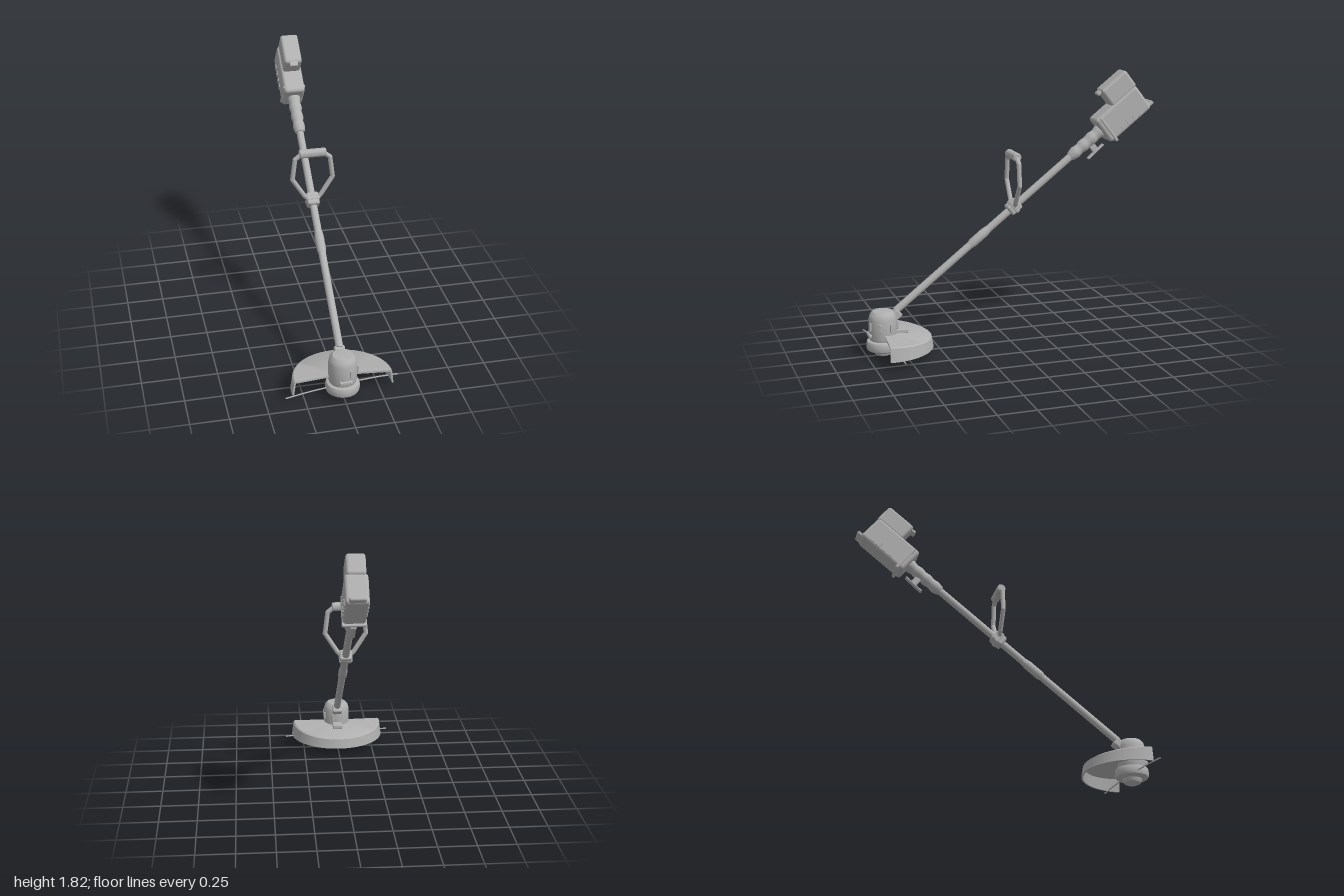
import * as THREE from 'three';
import { toCreasedNormals } from 'three/addons/utils/BufferGeometryUtils.js';
import { RoundedBoxGeometry } from 'three/addons/geometries/RoundedBoxGeometry.js';

const grey = new THREE.MeshStandardMaterial({ color: 0xb0b0b0, side: THREE.DoubleSide });
grey.name = 'plain grey';

const V = (x, y, z) => new THREE.Vector3(x, y, z);

function add(parent, name, geometry, x = 0, y = 0, z = 0) {
  const mesh = new THREE.Mesh(geometry, grey);
  mesh.name = name;
  mesh.position.set(x, y, z);
  parent.add(mesh);
  return mesh;
}

const rbox = (w, h, d, r) => new RoundedBoxGeometry(w, h, d, 2, r);

// Turned part from [radius, height] pairs
function turned(points, segments = 24) {
  const g = new THREE.LatheGeometry(points.map(([r, y]) => new THREE.Vector2(r, y)), segments);
  return toCreasedNormals(g, 0.6);
}

// Round bar between two points
function bar(parent, name, a, b, r, sides = 10) {
  const mesh = add(parent, name, new THREE.CylinderGeometry(r, r, a.distanceTo(b), sides));
  mesh.position.copy(a).add(b).multiplyScalar(0.5);
  mesh.quaternion.setFromUnitVectors(V(0, 1, 0), b.clone().sub(a).normalize());
  return mesh;
}

// Everything in line with the pole: local y runs up the pole, local z is its upper side
function buildPole() {
  const pole = new THREE.Group();
  pole.name = 'poleAssembly';
  pole.position.set(0, 0.31, 0.78);
  pole.rotation.x = -THREE.MathUtils.degToRad(51.9);

  add(pole, 'shaft', new THREE.CylinderGeometry(0.025, 0.025, 1.62, 16), 0, 0.79, 0);
  add(pole, 'coupling', turned([[0.025, 0.63], [0.031, 0.655], [0.031, 0.76], [0.025, 0.795]], 16));
  add(pole, 'handleClamp', rbox(0.084, 0.09, 0.075, 0.014), 0, 1.02, 0.002);
  add(pole, 'clampBand', rbox(0.09, 0.03, 0.082, 0.008), 0, 1.02, 0.002);

  // Rear grip with finger waves
  const grip = [[0, 1.53], [0.03, 1.53]];
  for (let i = 0; i <= 20; i++) {
    const t = i / 20;
    grip.push([0.038 + 0.005 * t - 0.003 * Math.cos(t * Math.PI * 8), 1.54 + 0.29 * t]);
  }
  add(pole, 'rearGrip', turned(grip, 20));

  // Trigger under the grip
  add(pole, 'triggerStem', rbox(0.03, 0.045, 0.06, 0.006), 0, 1.695, -0.06);
  add(pole, 'triggerLever', rbox(0.035, 0.145, 0.012, 0.005), 0, 1.69, -0.092).rotation.x = 0.05;

  // Power housing
  add(pole, 'housing', rbox(0.145, 0.37, 0.195, 0.022), 0, 1.985, 0);
  add(pole, 'housingCollar', rbox(0.154, 0.022, 0.205, 0.008), 0, 1.842, -0.012);
  add(pole, 'rearHook', rbox(0.104, 0.075, 0.026, 0.011), 0, 2.168, -0.08);
  for (const side of [-1, 1]) {
    for (let i = 0; i < 4; i++) {
      add(pole, 'vent', new THREE.BoxGeometry(0.008, 0.028, 0.04), side * 0.073, 1.93 + i * 0.052, -0.06);
    }
  }

  // Battery and its latch
  add(pole, 'battery', rbox(0.122, 0.222, 0.14, 0.02), 0, 2.068, 0.155);
  add(pole, 'batteryLatch', rbox(0.058, 0.04, 0.022, 0.008), 0, 1.95, 0.21);
  return pole;
}

// Upright loop handle
function buildHandle() {
  const handle = new THREE.Group();
  handle.name = 'loopHandle';
  handle.position.z = -0.02;
  for (const s of [-1, 1]) {
    const path = [[0.03, 0.95], [0.058, 0.982], [0.136, 1.105], [0.118, 1.25], [0.075, 1.285]]
      .map(([x, y]) => V(s * x, y, 0));
    for (let i = 0; i < path.length - 1; i++) {
      bar(handle, 'handleArm', path[i], path[i + 1], 0.016);
      if (i > 0) add(handle, 'handleBend', new THREE.SphereGeometry(0.016, 10, 8), ...path[i].toArray());
    }
  }
  const grip = add(handle, 'handleGrip', turned([[0, -0.09], [0.024, -0.09], [0.029, -0.084],
    [0.029, 0.084], [0.024, 0.09], [0, 0.09]], 18), 0, 1.288, 0);
  grip.rotation.z = Math.PI / 2;
  return handle;
}

// Curved guard shell, its top dipping toward the back
function buildGuard() {
  const guard = new THREE.Group();
  guard.name = 'guard';
  const outline = [[0.05, 0.158], [0.312, 0.155], [0.321, 0.147], [0.333, 0.055],
    [0.322, 0.055], [0.309, 0.142], [0.05, 0.145], [0.05, 0.158]].map(([r, y]) => new THREE.Vector2(r, y));
  const start = Math.PI / 2 - 0.08, sweep = Math.PI + 0.16;
  const dip = (g) => {
    const p = g.attributes.position;
    for (let i = 0; i < p.count; i++) {
      const share = (p.getY(i) - 0.055) / 0.1;
      p.setY(i, p.getY(i) + 0.085 * share * Math.min(0, p.getZ(i)));
    }
    return toCreasedNormals(g, 0.6);
  };
  add(guard, 'guardShell', dip(new THREE.LatheGeometry(outline, 40, start, sweep)));
  for (const phi of [start, start + sweep]) {
    add(guard, 'guardEnd', dip(new THREE.ShapeGeometry(new THREE.Shape(outline)).rotateY(phi - Math.PI / 2)));
  }
  return guard;
}

// Motor, spool, guard and cutting line around the vertical axis
function buildHead() {
  const head = new THREE.Group();
  head.name = 'cuttingHead';
  head.position.z = 0.888;

  add(head, 'motorHousing', turned([[0, 0.1], [0.085, 0.1], [0.093, 0.13], [0.092, 0.255],
    [0.084, 0.285], [0.066, 0.303], [0, 0.31]]));
  add(head, 'spool', turned([[0, 0.036], [0.092, 0.036], [0.107, 0.046], [0.111, 0.058], [0.111, 0.09],
    [0.105, 0.104], [0.08, 0.112], [0, 0.112]]));
  add(head, 'bumpKnob', turned([[0, 0], [0.035, 0], [0.055, 0.01], [0.062, 0.025], [0.065, 0.04], [0, 0.04]]));
  add(head, 'frontTab', rbox(0.084, 0.026, 0.03, 0.008), 0, 0.146, 0.088);

  // Cooling ribs on one flank
  for (const deg of [-70, -22, 22, 70]) {
    const a = THREE.MathUtils.degToRad(deg);
    add(head, 'coolingRib', rbox(0.03, 0.055, 0.014, 0.004),
      0.088 * Math.cos(a), 0.207, -0.088 * Math.sin(a)).rotation.y = a;
  }

  // Pole socket and guard bracket
  const socket = add(head, 'poleSocket', rbox(0.07, 0.075, 0.06, 0.012), 0, 0.268, -0.085);
  socket.rotation.x = -0.9;
  add(head, 'guardBracket', rbox(0.07, 0.03, 0.1, 0.006), 0, 0.158, -0.115);

  head.add(buildGuard());
  const line = new THREE.CatmullRomCurve3([V(-0.38, 0.058, 0.052), V(-0.2, 0.066, 0.02),
    V(0.2, 0.066, -0.04), V(0.38, 0.058, -0.06)]);
  add(head, 'cuttingLine', new THREE.TubeGeometry(line, 20, 0.005, 6));
  return head;
}

export function createModel() {
  const model = new THREE.Group();
  model.name = 'stringTrimmer';
  model.add(buildPole(), buildHandle(), buildHead());
  return model;
}
